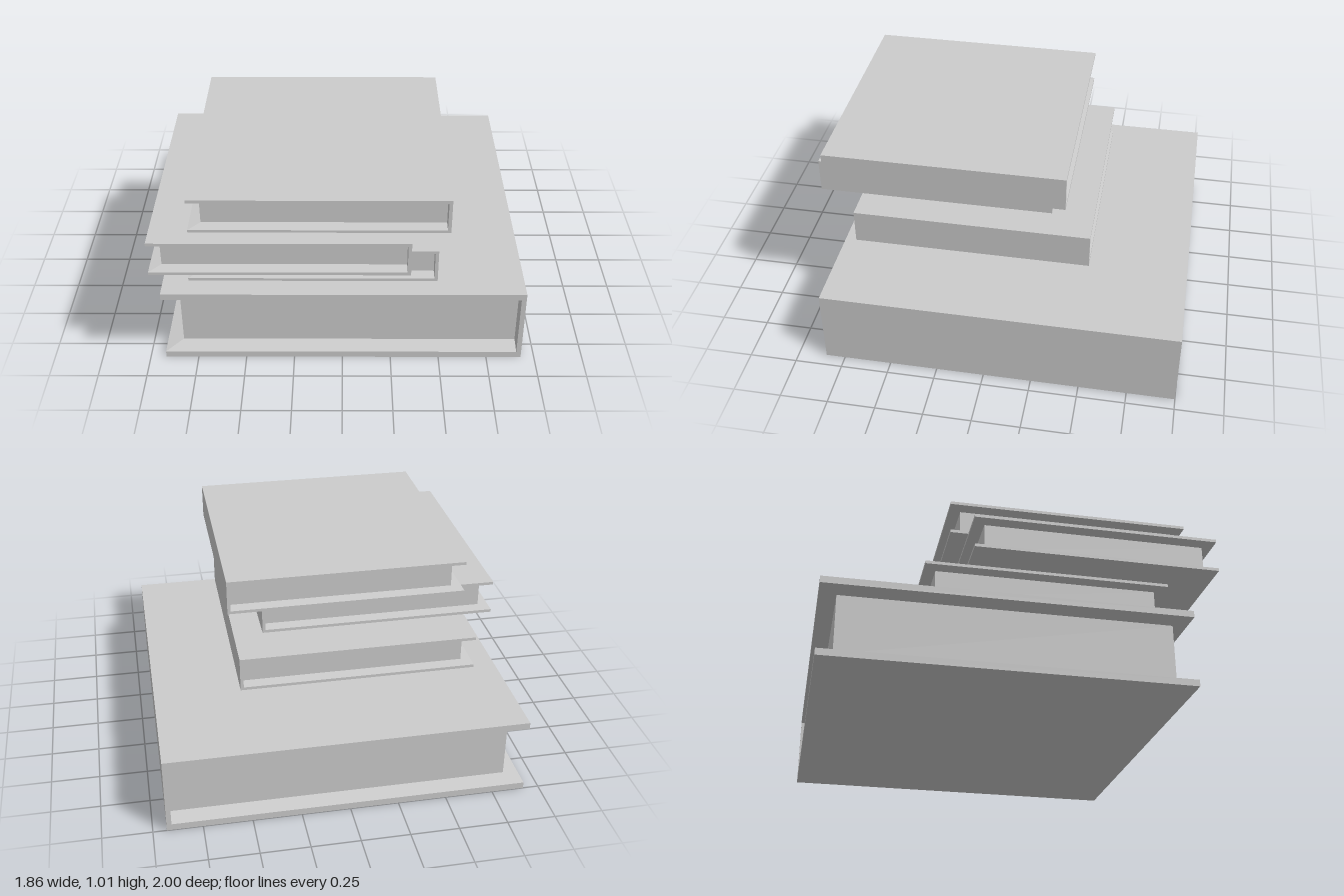
import * as THREE from 'three';

const material = new THREE.MeshStandardMaterial({ color: 0xcccccc, flatShading: true });

// Full-size book, centred on x and z, standing on y = 0, spine on +x
const W = 1.85, H = 0.41, D = 1.852;
const BOARD = 0.035, SPINE = 0.025, INSET = 0.085, BEVEL = 0.015;

function box(name, x0, x1, y0, y1, d) {
  const geo = new THREE.BoxGeometry(x1 - x0, y1 - y0, d);
  geo.translate((x0 + x1) / 2, (y0 + y1) / 2, 0);
  const mesh = new THREE.Mesh(geo, material);
  mesh.name = name;
  return mesh;
}

// Cover board whose inner face slopes up from its three open edges to the pages
function liner(name, upper) {
  const x0 = -W / 2, x1 = W / 2 - SPINE;
  const y0 = upper ? H - BOARD - BEVEL : BOARD;
  const mesh = box(name, x0, x1, y0, y0 + BEVEL, D);
  const p = mesh.geometry.attributes.position;
  const mid = y0 + BEVEL / 2;
  for (let i = 0; i < p.count; i++) {
    if (p.getY(i) > mid === upper) continue;
    if (p.getX(i) < 0) p.setX(i, x0 + INSET);
    p.setZ(i, Math.sign(p.getZ(i)) * (D / 2 - INSET));
  }
  mesh.geometry.computeVertexNormals();
  return mesh;
}

function makeBook(name) {
  const book = new THREE.Group();
  book.name = name;
  const inner = W / 2 - SPINE;
  book.add(
    box('bottomCover', -W / 2, inner, 0, BOARD, D),
    box('topCover', -W / 2, inner, H - BOARD, H, D),
    box('spine', inner, W / 2, 0, H, D),
    box('pages', -W / 2 + INSET, inner, BOARD + BEVEL, H - BOARD - BEVEL, D - 2 * INSET),
    liner('bottomCoverLining', false),
    liner('topCoverLining', true)
  );
  return book;
}

export function createModel() {
  const stack = new THREE.Group();
  stack.name = 'bookStack';
  // name, centre x, bottom y, centre z, width/depth scale, height scale
  const books = [
    ['largeBook', 0.006, 0, -0.074, 1, 1],
    ['lowerSmallBook', -0.149, 0.443, 0.147, 0.683, 0.45],
    ['middleSmallBook', -0.301, 0.647, 0.368, 0.683, 0.45],
    ['upperSmallBook', -0.11, 0.83, 0.276, 0.683, 0.45],
  ];
  for (const [name, x, y, z, s, sy] of books) {
    const book = makeBook(name);
    book.position.set(x, y, z);
    book.scale.set(s, sy, s);
    stack.add(book);
  }
  return stack;
}
